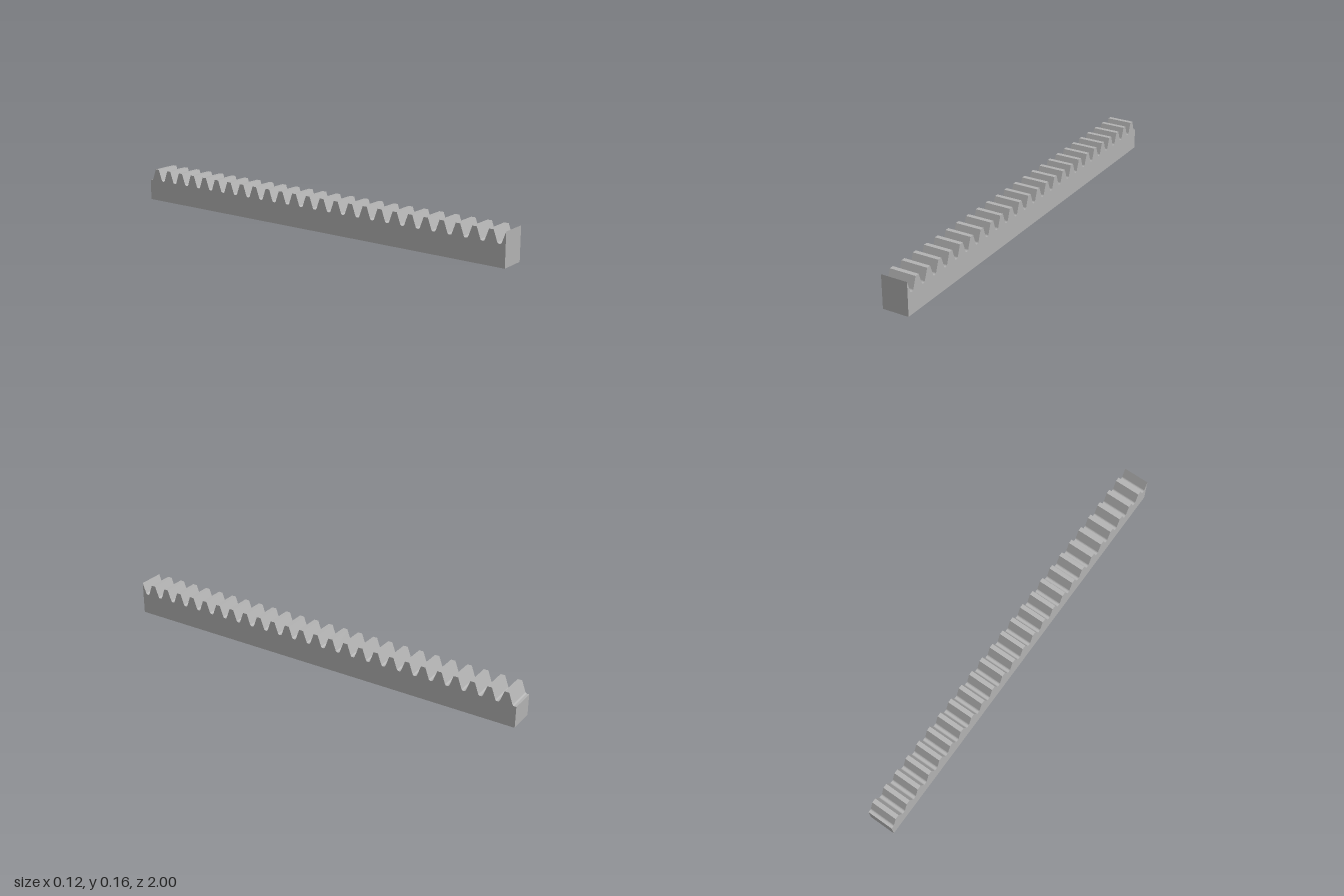
import * as THREE from 'three';

// Straight gear rack with 20 degree flanks; every size follows from the gear module
const M = 0.025;
const PITCH = Math.PI * M;
const ANGLE = THREE.MathUtils.degToRad(20);
const ROOT = 4 * M;
const TIP = ROOT + 2.25 * M;
const WIDTH = 5 * M;
const VALLEYS = 26;

// Side profile, drawn with the shape's x as the model's z
function rackProfile() {
  const tipHalf = PITCH / 4 - M * Math.tan(ANGLE);
  const valleyTop = PITCH / 2 - tipHalf;
  const valleyRoot = PITCH / 4 - 1.25 * M * Math.tan(ANGLE);
  const r = 0.38 * M;
  const inset = valleyRoot - r * Math.tan((Math.PI / 2 - ANGLE) / 2);

  const shape = new THREE.Shape();
  shape.moveTo(1, 0);
  for (let i = 0; i < VALLEYS; i++) {
    const z = 1 - valleyTop - i * PITCH;
    // falling flank and root fillet
    shape.lineTo(z + valleyTop, TIP);
    shape.absarc(z + inset, ROOT + r, r, -ANGLE, -Math.PI / 2, true);
    if (i === VALLEYS - 1) break; // the bar is cut off in the last valley
    // second root fillet and rising flank
    shape.absarc(z - inset, ROOT + r, r, -Math.PI / 2, ANGLE - Math.PI, true);
    shape.lineTo(z - valleyTop, TIP);
  }
  shape.lineTo(-1, ROOT);
  shape.lineTo(-1, 0);
  shape.closePath();
  return shape;
}

export function createModel() {
  const steel = new THREE.MeshStandardMaterial({ color: 0xb2b2b2 });
  steel.name = 'steel grey';

  // Extrude across the width, then turn the profile to run along z
  const geometry = new THREE.ExtrudeGeometry(rackProfile(), {
    depth: WIDTH, bevelEnabled: false, curveSegments: 3,
  });
  geometry.rotateY(-Math.PI / 2);
  geometry.translate(WIDTH / 2, 0, 0);

  const rack = new THREE.Mesh(geometry, steel);
  rack.name = 'toothedRack';

  const group = new THREE.Group();
  group.name = 'gearRack';
  group.add(rack);
  return group;
}
